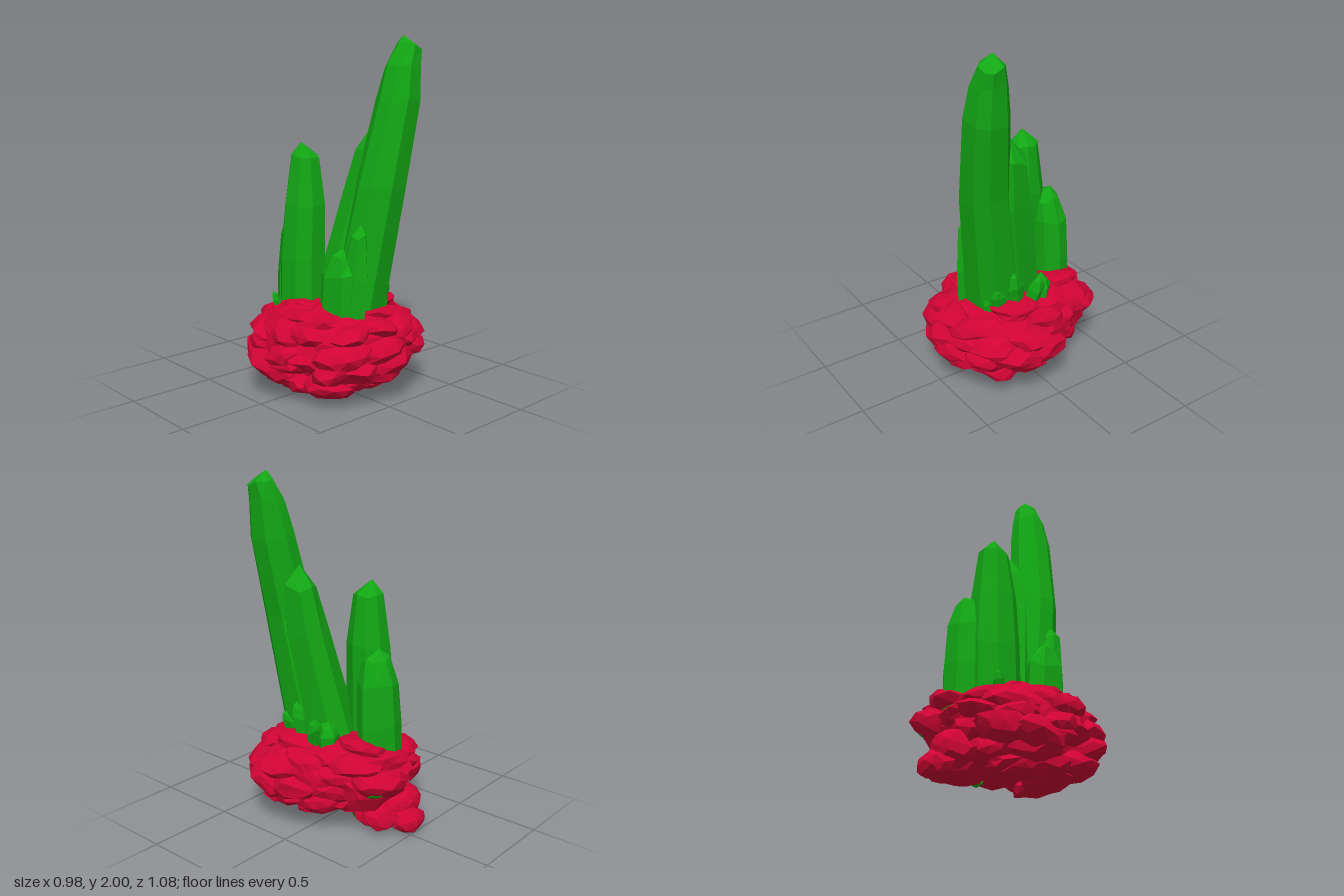
import * as THREE from 'three';
import { mergeGeometries } from 'three/addons/utils/BufferGeometryUtils.js';

const V = (x, y, z) => new THREE.Vector3(x, y, z);

// small seeded random
let seed = 11;
const rnd = () => {
  seed = (seed * 16807) % 2147483647;
  return seed / 2147483647;
};
const spread = (a) => (rnd() * 2 - 1) * a;

// skin closed rings of points (bottom to top), ending in a point at each end
function skin(rings, bottom, top) {
  const n = rings[0].length, pos = [], tri = (...p) => p.forEach((v) => pos.push(v.x, v.y, v.z));
  for (let i = 0; i < n; i++) {
    const j = (i + 1) % n;
    tri(bottom, rings[0][i], rings[0][j]);
    for (let k = 0; k < rings.length - 1; k++) {
      const a = rings[k], b = rings[k + 1];
      tri(a[i], b[i], a[j]);
      tri(a[j], b[i], b[j]);
    }
    tri(rings.at(-1)[i], top, rings.at(-1)[j]);
  }
  const g = new THREE.BufferGeometry();
  g.setAttribute('position', new THREE.Float32BufferAttribute(pos, 3));
  g.computeVertexNormals();
  return g;
}

// crystal: sections are [y, centre x, centre z, radius x, radius z]; tip is [x, y, z]
function crystal(sections, tip, sides = 7, turn = 0.3) {
  const angles = Array.from({ length: sides }, (_, i) => turn + ((i + spread(0.15)) / sides) * Math.PI * 2);
  const rings = sections.map(([y, cx, cz, rx, rz]) =>
    angles.map((a) => V(cx + Math.cos(a) * rx * 1.03, y + (y > 0.5 ? spread(0.02) : 0), cz + Math.sin(a) * rz * 1.03)));
  const [y, x, z] = sections[0];
  return skin(rings, V(x, y - 0.02, z), V(...tip));
}

// straight small shard from base to tip
function shard(base, tip, r) {
  const b = V(...base), t = V(...tip);
  const at = (f, s) => { const p = b.clone().lerp(t, f); return [p.y, p.x, p.z, r * s, r * s]; };
  return crystal([at(0, 0.9), at(0.65, 1), at(0.85, 0.65)], tip, 5, rnd() * 3);
}

// rock plan outline, as [x, z]
const outline = new THREE.CatmullRomCurve3([
  [0.48, 0.03], [0.45, 0.28], [0.3, 0.46], [0.09, 0.53], [-0.12, 0.5], [-0.35, 0.38], [-0.4, 0.2],
  [-0.48, 0], [-0.47, -0.12], [-0.36, -0.29], [-0.2, -0.4], [0.02, -0.45], [0.19, -0.48], [0.28, -0.4],
  [0.34, -0.2],
].map(([x, z]) => V(x, 0, z)), true);

// faceted flattened lump, size is its half extents
function lump(center, size, yaw) {
  const g = new THREE.IcosahedronGeometry(1, 1), p = g.attributes.position, shift = new Map();
  const v = V(0, 0, 0);
  for (let i = 0; i < p.count; i++) {
    v.fromBufferAttribute(p, i);
    const key = [v.x, v.y, v.z].map((c) => Math.round(c * 100)).join();
    if (!shift.has(key)) shift.set(key, 0.82 + rnd() * 0.26);
    v.multiplyScalar(shift.get(key));
    p.setXYZ(i, v.x, v.y, v.z);
  }
  g.deleteAttribute('uv');
  g.scale(...size);
  g.rotateZ(spread(0.2));
  g.rotateX(spread(0.3));
  g.rotateY(yaw);
  g.translate(...center);
  for (let i = 0; i < p.count; i++) p.setY(i, Math.max(p.getY(i), 0.005));
  g.computeVertexNormals();
  return g;
}

function rock() {
  // solid core
  const core = [[0.1, 0.5], [0.17, 0.74], [0.28, 0.86], [0.38, 0.84], [0.46, 0.68], [0.52, 0.42]].map(([y, s]) =>
    Array.from({ length: 26 }, (_, i) => {
      const p = outline.getPointAt(i / 26).multiplyScalar(s + spread(0.03));
      return V(p.x, y + spread(0.02), p.z);
    }));
  const parts = [skin(core, V(0, 0.06, 0), V(0, 0.53, 0))];
  // layered lumps: [y, reach as part of the outline, count, radial, height, tangent]
  const layers = [
    [0.1, 0.68, 8, 0.15, 0.06, 0.16],
    [0.165, 0.87, 12, 0.14, 0.08, 0.16],
    [0.255, 1.0, 13, 0.14, 0.085, 0.16],
    [0.33, 0.99, 13, 0.14, 0.08, 0.17],
    [0.41, 0.93, 12, 0.15, 0.07, 0.16],
    [0.465, 0.76, 9, 0.15, 0.055, 0.17],
    [0.5, 0.52, 7, 0.14, 0.045, 0.14],
  ];
  layers.forEach(([y, s, count, r, h, t], k) => {
    for (let i = 0; i < count; i++) {
      const p = outline.getPointAt((i + (k % 2) * 0.5 + spread(0.25) + 1) / count % 1);
      // the back is undercut above the foot
      const undercut = y < 0.3 && p.z < -0.3 ? 0.1 : 0;
      const f = s + spread(0.03) - undercut - (r * 0.93) / p.length();
      const size = 0.85 + rnd() * 0.3;
      const height = y + 0.06 * p.x - 0.03 * p.z + spread(0.025);
      parts.push(lump([p.x * f, height, p.z * f], [r, h * size, t * size], -Math.atan2(p.z, p.x)));
    }
  });
  // low foot spreading to the back
  for (const [x, y, z, a, h, b] of [
    [-0.04, 0.08, -0.43, 0.12, 0.08, 0.11], [-0.06, 0.15, -0.37, 0.15, 0.1, 0.12],
    [0.05, 0.1, -0.34, 0.13, 0.09, 0.12], [0, 0.07, -0.24, 0.15, 0.07, 0.14],
  ]) parts.push(lump([x, y, z], [a, h, b], spread(0.3)));
  return mergeGeometries(parts);
}

export function createModel() {
  const group = new THREE.Group();
  const red = new THREE.MeshStandardMaterial({ color: 0xd00434, flatShading: true });
  const green = new THREE.MeshStandardMaterial({ color: 0x12a614, flatShading: true });
  const add = (name, geometry, material) => {
    const mesh = new THREE.Mesh(geometry, material);
    mesh.name = name;
    group.add(mesh);
  };

  add('rockBase', rock(), red);

  // tall leaning crystal and the one fused to its back
  add('tallCrystal', crystal([
    [0.4, 0.06, 0.15, 0.15, 0.165], [1.2, 0.15, 0.265, 0.135, 0.14], [1.65, 0.235, 0.305, 0.115, 0.125],
    [1.84, 0.265, 0.31, 0.095, 0.1], [1.94, 0.305, 0.32, 0.065, 0.07],
  ], [0.28, 2, 0.3], 8), green);
  add('fusedCrystal', crystal([
    [0.4, 0.05, 0, 0.16, 0.14], [1.12, 0.165, 0.12, 0.115, 0.12], [1.38, 0.2, 0.14, 0.085, 0.09],
  ], [0.2, 1.5, 0.14]), green);

  // middle and back crystals
  add('middleCrystal', crystal([
    [0.4, -0.085, -0.13, 0.12, 0.14], [0.75, -0.08, -0.135, 0.12, 0.14],
    [1.05, -0.065, -0.13, 0.11, 0.125], [1.32, -0.06, -0.13, 0.075, 0.085],
  ], [-0.08, 1.41, -0.14], 8), green);
  add('backCrystal', crystal([
    [0.38, 0, -0.27, 0.13, 0.115], [0.62, 0.005, -0.27, 0.135, 0.11],
    [0.86, 0.01, -0.26, 0.12, 0.105], [1, 0.015, -0.245, 0.075, 0.075],
  ], [0.02, 1.06, -0.27], 8, 0.1), green);

  // short pair at the front
  add('frontCrystal', crystal([
    [0.42, -0.045, 0.22, 0.07, 0.11], [0.68, -0.03, 0.245, 0.065, 0.1], [0.92, -0.03, 0.28, 0.04, 0.05],
  ], [-0.01, 0.985, 0.28], 6), green);
  add('frontSideCrystal', crystal([
    [0.42, -0.09, 0.17, 0.075, 0.12], [0.7, -0.09, 0.18, 0.07, 0.11], [0.79, -0.08, 0.19, 0.045, 0.06],
  ], [-0.07, 0.85, 0.2], 6), green);

  // small shards around the crystals and poking through the rock
  [
    [[0.2, 0.44, 0.1], [0.24, 0.72, 0.14], 0.05], [[0.18, 0.44, 0.2], [0.22, 0.63, 0.24], 0.045],
    [[0.21, 0.44, 0.02], [0.27, 0.66, -0.02], 0.05], [[0.2, 0.42, -0.05], [0.21, 0.64, -0.07], 0.065],
    [[-0.2, 0.42, -0.17], [-0.24, 0.56, -0.2], 0.03], [[0.16, 0.42, 0.25], [0.16, 0.58, 0.28], 0.035],
    [[0.05, 0.03, -0.16], [0.05, 0.15, -0.12], 0.04], [[0.17, 0.25, -0.34], [0.2, 0.32, -0.42], 0.045],
  ].forEach(([base, tip, r], i) => add(`shard${i + 1}`, shard(base, tip, r), green));

  return group;
}
